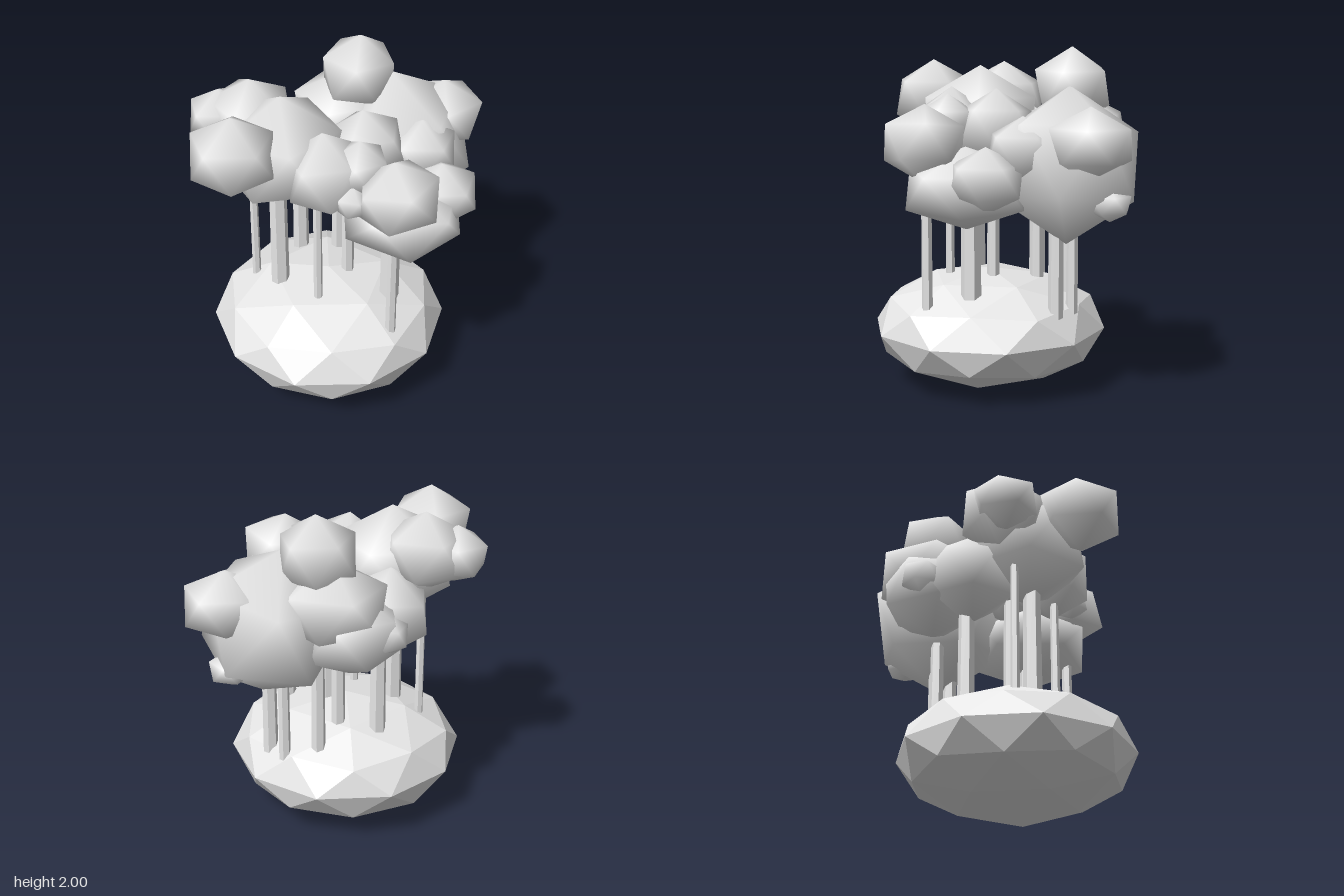
import * as THREE from 'three';

const stone = new THREE.MeshStandardMaterial({ color: 0xe6e6e6 });
stone.name = 'pale grey';

// Icosahedron with a corner pointing straight up
function icosa(detail) {
  const g = new THREE.IcosahedronGeometry(1, detail);
  g.rotateZ(Math.atan(2 / (1 + Math.sqrt(5))));
  return g;
}

function add(group, name, geometry) {
  const mesh = new THREE.Mesh(geometry, stone);
  mesh.name = name;
  group.add(mesh);
  return mesh;
}

// Low-poly puff with rounded shading
function puffGeometry() {
  const g = icosa(0);
  const p = g.attributes.position;
  const v = new THREE.Vector3();
  for (let i = 0; i < p.count; i++) {
    v.fromBufferAttribute(p, i).normalize();
    g.attributes.normal.setXYZ(i, v.x, v.y, v.z);
  }
  return g;
}

// x, y, z, radius, vertical radius, yaw, sideways tilt
const PUFFS = [
  [-0.43, 1.67, 0.525, 0.262, 0.235, 0.0, 0.0],
  [0.02, 1.77, -0.39, 0.24, 0.235, 0.5, -0.05],
  [0.465, 1.48, 0.385, 0.255, 0.22, 0.9, 0.15],
  [0.62, 1.30, 0.01, 0.23, 0.185, 0.0, 0.0],
  [0.5, 1.495, -0.545, 0.26, 0.205, 1.9, 0.0],
  [-0.65, 1.65, 0.12, 0.2, 0.17, 2.4, 0.05],
  [-0.48, 1.66, 0.09, 0.27, 0.235, 2.8, 0.0],
  [-0.265, 1.54, 0.2, 0.385, 0.34, 3.3, 0.0],
  [0.04, 1.51, 0.32, 0.255, 0.26, 3.8, 0.1],
  [0.22, 1.57, 0.30, 0.18, 0.17, 4.2, 0.0],
  [0.22, 1.43, 0.43, 0.11, 0.1, 4.7, 0.0],
  [0.18, 1.54, 0.03, 0.24, 0.23, 5.2, 0.08],
  [0.43, 1.23, 0.155, 0.385, 0.235, 0.1, -0.05],
  [0.28, 1.355, -0.4, 0.445, 0.445, 0.0, 0.16],
  [-0.07, 1.5, -0.41, 0.33, 0.25, 0.3, 0.0],
  [-0.15, 1.34, -0.37, 0.33, 0.27, 0.9, 0.0],
  [-0.3, 1.36, -0.12, 0.28, 0.27, 0.8, 0.1],
  [0.46, 1.45, -0.17, 0.22, 0.19, 1.2, 0.0],
  [-0.37, 1.35, -0.4, 0.13, 0.12, 1.7, 0.0],
  [0.45, 1.165, -0.65, 0.13, 0.1, 2.2, 0.0],
];

// x, z, radius, bottom, top
const TRUNKS = [
  [-0.46, 0.15, 0.026, 0.52, 1.5],
  [-0.28, 0.23, 0.055, 0.55, 1.5],
  [-0.01, 0.34, 0.027, 0.55, 1.5],
  [0.44, 0.38, 0.032, 0.45, 1.45],
  [0.37, 0.14, 0.06, 0.5, 1.3],
  [0.33, -0.34, 0.045, 0.4, 1.3],
  [0.22, -0.42, 0.035, 0.4, 1.3],
  [0.03, -0.37, 0.042, 0.45, 1.4],
  [-0.04, -0.18, 0.042, 0.5, 1.4],
  [-0.27, -0.15, 0.05, 0.5, 1.35],
  [0.09, 0.06, 0.038, 0.55, 1.5],
];

export function createModel() {
  const model = new THREE.Group();
  model.name = 'floatingGrove';

  // Faceted boulder base
  const rock = icosa(1);
  rock.scale(0.7, 0.345, 0.695);
  rock.translate(-0.015, 0.345, 0.105);
  rock.computeVertexNormals();
  add(model, 'boulder', rock);

  // Trunks with flat sides
  const trunks = new THREE.Group();
  trunks.name = 'trunks';
  model.add(trunks);
  for (const [x, z, r, y0, y1] of TRUNKS) {
    const g = new THREE.CylinderGeometry(r * 0.9, r, y1 - y0, 6).toNonIndexed();
    g.computeVertexNormals();
    add(trunks, 'trunk', g).position.set(x, (y0 + y1) / 2, z);
  }

  // Foliage puffs, each turned about its own stem, some leaning sideways
  const foliage = new THREE.Group();
  foliage.name = 'foliage';
  model.add(foliage);
  const puff = puffGeometry();
  for (const [x, y, z, r, ry, yaw, tilt] of PUFFS) {
    const mesh = add(foliage, 'foliagePuff', puff);
    mesh.position.set(x, y, z);
    mesh.scale.set(r, ry, r);
    mesh.rotation.set(0, yaw, tilt, 'ZYX');
  }

  return model;
}
